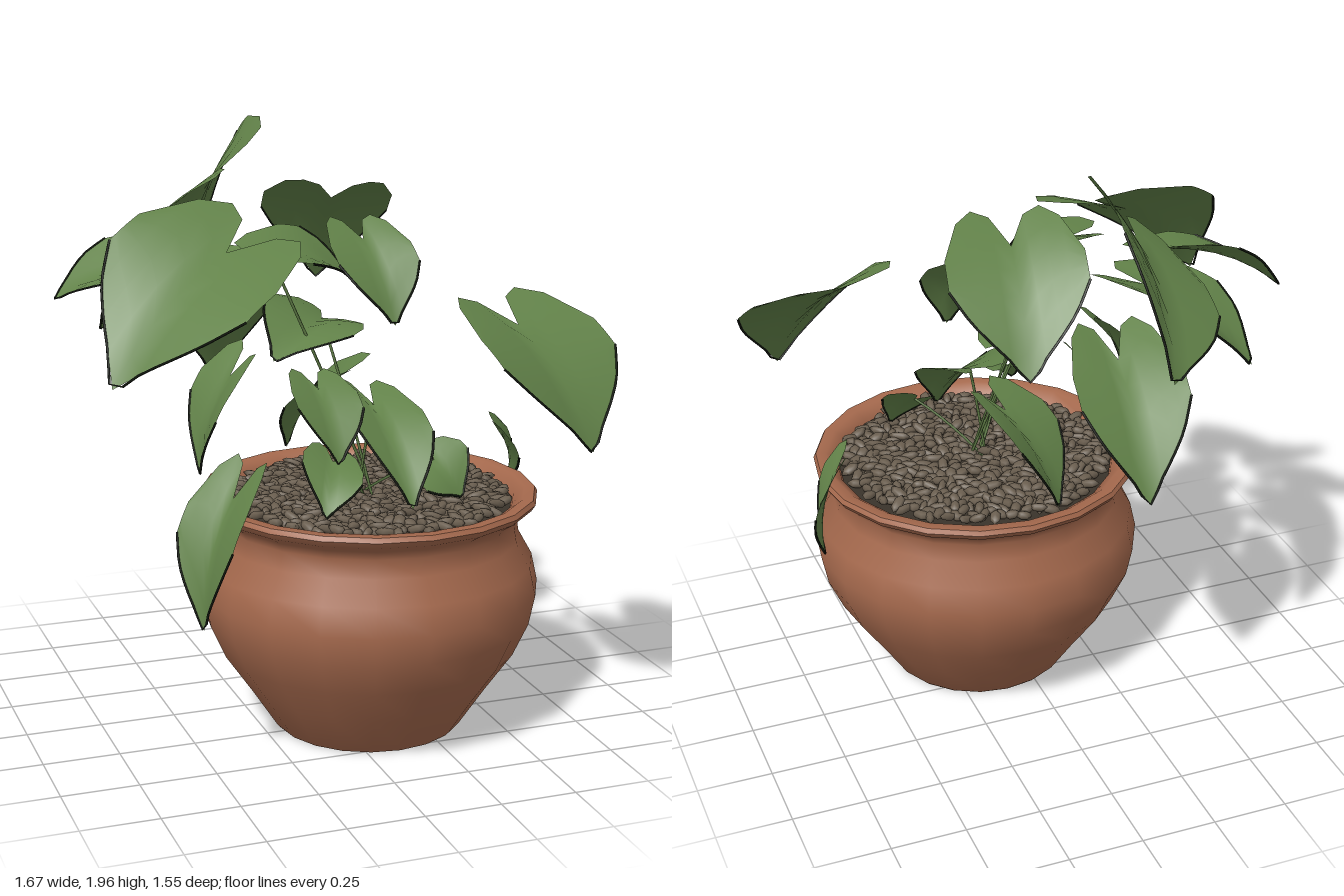
import * as THREE from 'three';
import { mergeGeometries, toCreasedNormals } from 'three/addons/utils/BufferGeometryUtils.js';

const material = (name, color, side = THREE.FrontSide) => {
  const m = new THREE.MeshStandardMaterial({ color, side });
  m.name = name;
  return m;
};
const CENTRE = new THREE.Vector3(0.11, 0, 0.22);
const v3 = (a) => new THREE.Vector3(...a);

// Heart outline of half a leaf: near and far edge along the midrib, from rib to side
const NEAR = [0, -0.26, -0.32, -0.2, 0.12];
const FAR = [1, 0.86, 0.73, 0.58, 0.36];

// Leaf running from notch to tip, reaching out by the half span on either side
function leafGeometry(notch, tip, halfSpan) {
  const start = v3(notch), span = v3(halfSpan);
  const rib = v3(tip).sub(start);
  const up = span.clone().cross(rib).normalize();
  if (up.y < 0) up.negate();
  const geo = new THREE.PlaneGeometry(8, 5, 8, 5);
  const pos = geo.attributes.position;
  for (let row = 0, i = 0; row <= 5; row++) {
    for (let col = -4; col <= 4; col++, i++) {
      const c = Math.abs(col), s = c / 4;
      const v = THREE.MathUtils.lerp(NEAR[c], FAR[c], row / 5);
      const bulge = rib.length() * (0.35 * v * (1 - v) + 0.1 * s);
      const p = start.clone().addScaledVector(rib, v)
        .addScaledVector(span, col / 4)
        .addScaledVector(up, bulge);
      pos.setXYZ(i, p.x, p.y, p.z);
    }
  }
  geo.computeVertexNormals();
  return geo;
}

// Thin dark edge along the last row of a leaf, round its tip
function edgeGeometry(leaf) {
  const pos = leaf.attributes.position;
  const points = [];
  for (let i = pos.count - 9; i < pos.count; i++) points.push(new THREE.Vector3().fromBufferAttribute(pos, i));
  return new THREE.TubeGeometry(new THREE.CatmullRomCurve3(points), 16, 0.004, 4);
}

// Each leaf: name, notch, tip, half span
const UPPER_LEAVES = [
  ['topBackLeaf', [-0.2, 1.78, -0.38], [-0.16, 1.47, -0.77], [0.16, 0.16, 0]],
  ['topCentreLeaf', [0.11, 1.7, -0.14], [0.16, 1.38, -0.44], [-0.21, 0.01, -0.05]],
  ['rightTipLeaf', [0.17, 1.58, 0], [0.22, 1.32, 0.17], [0.14, 0, 0]],
  ['leftBackLeaf', [-0.36, 1.48, -0.1], [-0.63, 1.26, -0.36], [-0.15, -0.04, 0.15]],
  ['farLeftLeaf', [-0.5, 1.54, 0], [-0.83, 1.42, -0.14], [0, -0.04, 0.16]],
  ['bigLeftLeaf', [-0.38, 1.61, 0.27], [-0.79, 1.25, 0.44], [-0.14, 0.09, -0.25]],
  ['bigRightLeaf', [0.52, 1.36, 0.46], [0.66, 1, 0.73], [-0.24, 0, 0.1]],
  ['middleLeaf', [-0.2, 1.58, 0.13], [0.1, 1.47, 0.06], [0.04, 0.03, -0.18]],
  ['lowerBackLeaf', [-0.18, 1.34, -0.32], [-0.15, 1, -0.65], [0.18, 0, 0.01]],
  ['innerLeaf', [0.02, 1.33, 0.02], [-0.22, 1.25, 0.24], [0.12, -0.05, 0.09]],
];
const LOWER_LEAVES = [
  ['frontLeaf', [-0.14, 1.2, 0.43], [-0.13, 1, 0.6], [-0.11, 0.01, 0.01]],
  ['frontHeartLeaf', [0.11, 1.09, 0.26], [0.13, 0.82, 0.56], [-0.13, 0.02, -0.01]],
  ['smallRightLeaf', [0.26, 0.93, 0.41], [0.33, 0.82, 0.48], [0.09, 0.05, -0.05]],
  ['smallFrontLeaf', [-0.1, 0.97, 0.46], [-0.18, 0.84, 0.62], [-0.08, 0.03, -0.05]],
  ['rightRimLeaf', [0.65, 0.9, 0.06], [0.73, 0.68, -0.06], [-0.04, 0, 0.12]],
  ['leftHangingLeaf', [-0.43, 0.89, 0.48], [-0.55, 0.5, 0.55], [-0.05, 0, -0.13]],
  ['leftRimLeaf', [-0.34, 1.2, 0.17], [-0.46, 0.9, 0.22], [0, 0.02, -0.14]],
  ['innerBackLeaf', [0.11, 1.1, -0.08], [0, 0.82, -0.28], [0.11, 0.02, -0.12]],
];

export function createModel() {
  const model = new THREE.Group();
  model.name = 'pottedPlant';
  const clay = material('terracotta', 0xa5694d);
  const pebbleMat = material('pebble brown', 0x6a5e4f);
  const soilMat = material('dark soil', 0x3a332a);
  const leafMat = material('leaf green', 0x628249, THREE.DoubleSide);
  const edgeMat = material('dark leaf edge', 0x12170e);
  const stemMat = material('stem green', 0x5c7843);
  const add = (name, geo, mat, parent = model) => {
    const mesh = new THREE.Mesh(geo, mat);
    mesh.name = name;
    parent.add(mesh);
    return mesh;
  };

  // Round-bellied pot with a flared rim
  const profile = [[0, 0.01], [0.29, 0.01], [0.305, 0], [0.315, 0.01], [0.4, 0.14], [0.49, 0.27],
    [0.54, 0.38], [0.56, 0.48], [0.54, 0.57], [0.495, 0.65], [0.485, 0.71], [0.5, 0.74],
    [0.54, 0.765], [0.553, 0.785], [0.545, 0.8], [0.51, 0.8], [0.475, 0.775], [0.46, 0.72]];
  const potGeo = new THREE.LatheGeometry(profile.map(([r, y]) => new THREE.Vector2(r, y)), 20);
  add('pot', toCreasedNormals(potGeo, 0.8), clay).position.copy(CENTRE);

  const soil = add('soil', new THREE.CircleGeometry(0.47, 20).rotateX(-Math.PI / 2), soilMat);
  soil.position.copy(CENTRE).setY(0.765);

  // Pebbles spread in a sunflower pattern
  let seed = 7;
  const rand = () => (seed = (seed * 16807) % 2147483647) / 2147483647;
  const pebbles = [];
  const count = 520;
  for (let i = 0; i < count; i++) {
    const r = 0.45 * Math.sqrt((i + 0.5) / count), a = i * 2.39996;
    const stone = new THREE.SphereGeometry(1, 6, 4);
    stone.scale(0.026 + 0.016 * rand(), 0.014, 0.014 + 0.009 * rand());
    stone.rotateZ((rand() - 0.5) * 0.8).rotateY(rand() * Math.PI * 2);
    stone.translate(CENTRE.x + r * Math.cos(a), 0.775 + 0.015 * rand(), CENTRE.z + r * Math.sin(a));
    pebbles.push(stone);
  }
  add('pebbles', mergeGeometries(pebbles), pebbleMat);

  // Leaves with their dark edges
  const foliage = new THREE.Group();
  foliage.name = 'foliage';
  model.add(foliage);
  for (const leaves of [UPPER_LEAVES, LOWER_LEAVES]) {
    for (const [name, ...shape] of leaves) {
      const geo = leafGeometry(...shape);
      add(name, geo, leafMat, foliage);
      add(name + 'Edge', edgeGeometry(geo), edgeMat, foliage);
    }
  }

  // Thin stems rising from the soil to the lower and inner leaves
  const stemmed = ['middleLeaf', 'innerLeaf'];
  const stemEnds = [...UPPER_LEAVES.filter(([name]) => stemmed.includes(name)), ...LOWER_LEAVES.slice(0, 4)];
  stemEnds.forEach(([, notch], i) => {
    const start = new THREE.Vector3(0.1 + 0.03 * Math.cos(i), 0.77, 0.22 + 0.03 * Math.sin(i));
    const end = v3(notch);
    const bend = start.clone().lerp(end, 0.5).add(new THREE.Vector3(0, 0.03, 0));
    const curve = new THREE.QuadraticBezierCurve3(start, bend, end);
    add('stem', new THREE.TubeGeometry(curve, 6, 0.005, 4), stemMat, foliage);
  });
  return model;
}
